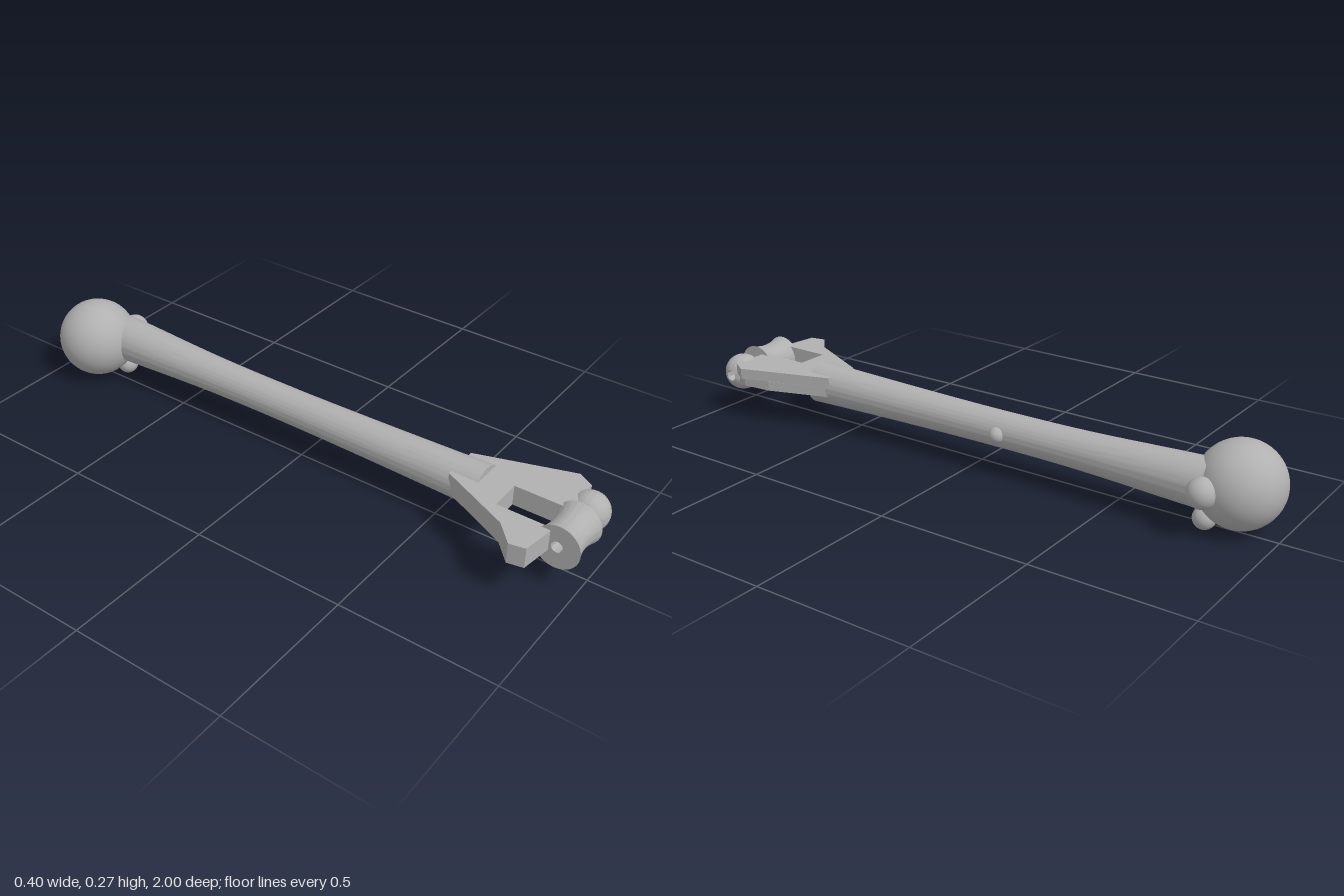
import * as THREE from 'three';
import { toCreasedNormals } from 'three/addons/utils/BufferGeometryUtils.js';

const AXIS_Y = 0.14;   // height of the bone's long axis
const JOINT_Z = 0.93;  // hinge axis of the lower joint
const BORE = 0.018;    // hole running along the hinge axis

export function createModel() {
  const model = new THREE.Group();
  model.name = 'armBone';
  const bone = new THREE.MeshStandardMaterial({ color: 0xb0b0b0 });
  bone.name = 'bone grey';

  const add = (name, geometry, x = 0, y = 0, z = 0) => {
    const mesh = new THREE.Mesh(geometry, bone);
    mesh.name = name;
    mesh.position.set(x, y, z);
    model.add(mesh);
    return mesh;
  };
  const ball = (name, r, x, y, z) => add(name, new THREE.SphereGeometry(r, 48, 32), x, y, z);
  const vectors = (list) => list.map(([a, b]) => new THREE.Vector2(a, b));
  const lathe = (points) => toCreasedNormals(new THREE.LatheGeometry(points, 64), 0.6);

  // Upper end: ball head and bumps
  ball('head', 0.131, -0.016, 0.139, -0.869);
  ball('greaterTubercle', 0.046, 0.104, AXIS_Y, -0.807);
  ball('lesserTubercle', 0.035, 0.038, 0.035, -0.79);
  ball('shaftBump', 0.026, 0.087, AXIS_Y, -0.117);

  // Shaft, slightly waisted and flat at both ends
  const waist = new THREE.SplineCurve(vectors([
    [0.075, -0.8], [0.073, -0.72], [0.06, -0.4], [0.057, -0.1],
    [0.06, 0.2], [0.066, 0.5], [0.07, 0.64],
  ])).getPoints(36);
  const shaft = lathe([new THREE.Vector2(0, -0.8), ...waist, new THREE.Vector2(0, 0.64)]);
  shaft.rotateX(Math.PI / 2);
  add('shaft', shaft, 0.037, AXIS_Y, 0);

  // Forked plate in two layers; the lower one is cut back on the outer side
  const plate = (name, outerEdge, top, thickness) => {
    const outline = new THREE.Shape(vectors([
      [-0.025, 0.55], [0.1, 0.55], ...outerEdge,
      [0.035, 0.905], [0.035, 0.73], [-0.07, 0.73], [-0.07, 0.905],
      [-0.09, 0.905], [-0.19, 0.89], [-0.2, 0.84], [-0.135, 0.78],
    ]));
    const geometry = new THREE.ExtrudeGeometry(outline, { depth: thickness, bevelEnabled: false });
    geometry.rotateX(Math.PI / 2);
    add(name, geometry, 0, top, 0);
  };
  plate('upperForkPlate', [[0.2, 0.855], [0.17, 0.905]], 0.187, 0.035);
  plate('lowerForkPlate', [[0.17, 0.76], [0.18, 0.86], [0.165, 0.905]], 0.152, 0.032);

  // Bored hinge parts, turned about the x axis
  const hinge = (name, profile, x) => {
    const geometry = lathe([...profile, profile[0].clone()]);
    geometry.rotateZ(-Math.PI / 2);
    add(name, geometry, x, AXIS_Y, JOINT_Z);
  };

  // Spool with a concave waist
  const spool = [new THREE.Vector2(BORE, -0.066)];
  for (let i = 0; i <= 16; i++) {
    const t = i / 8 - 1;
    spool.push(new THREE.Vector2(0.059 + 0.012 * t * t, 0.066 * t));
  }
  spool.push(new THREE.Vector2(BORE, 0.066));
  hinge('spool', spool, -0.016);

  // Ball beside the spool
  const radius = 0.061;
  const start = Math.asin(BORE / radius);
  const knob = [];
  for (let i = 0; i <= 28; i++) {
    const a = start + (Math.PI - 2 * start) * i / 28;
    knob.push(new THREE.Vector2(radius * Math.sin(a), -radius * Math.cos(a)));
  }
  hinge('outerKnob', knob, 0.117);

  return model;
}
